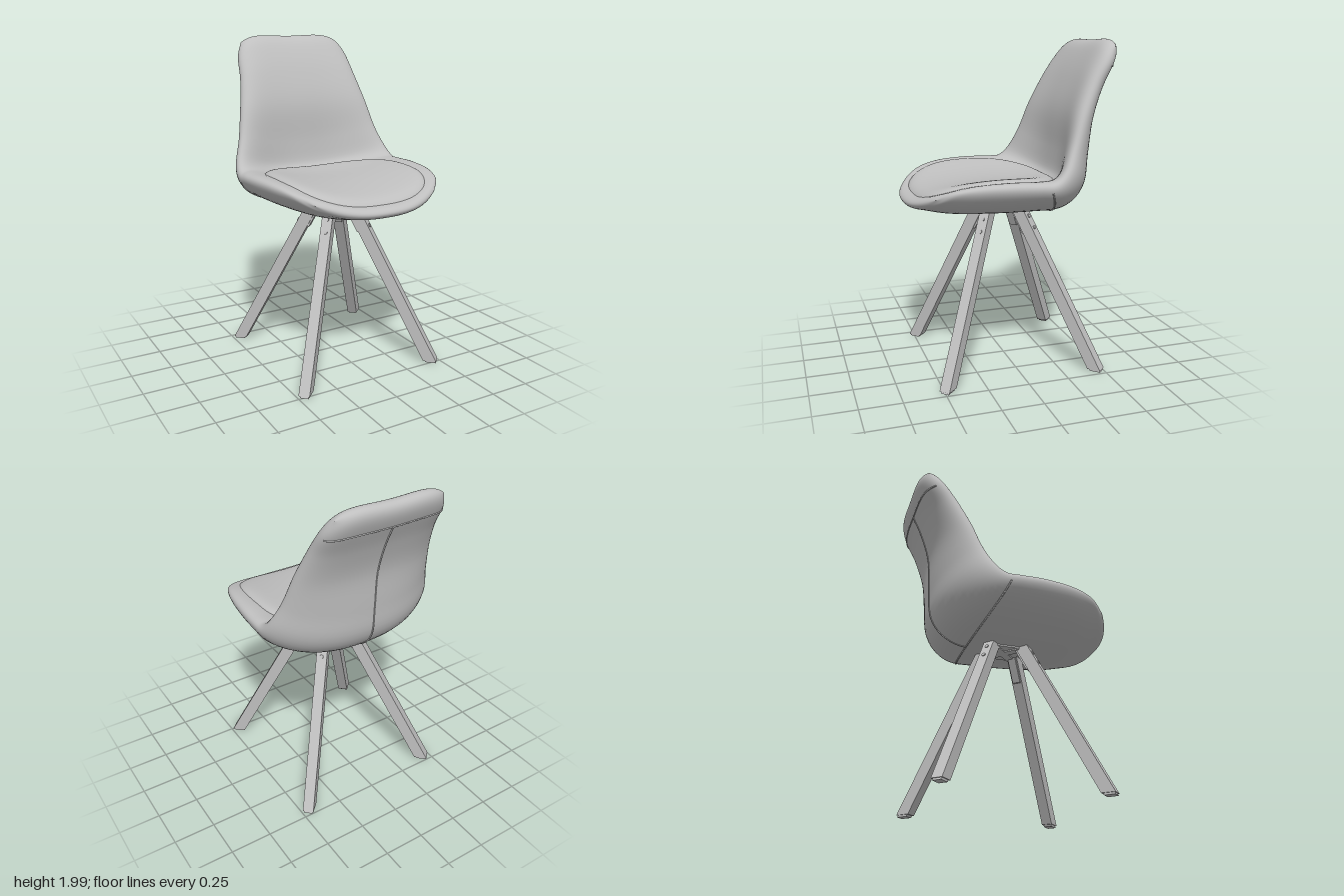
import * as THREE from 'three';
import { mergeVertices } from 'three/addons/utils/BufferGeometryUtils.js';

const grey = new THREE.MeshStandardMaterial({ color: 0xbfbfbf });
grey.name = 'plain grey';

// Stations from front lip to top of back:
// centre z, y | rim z, y | half width, half thickness, sharpness of the curl
const stations = [
  [0.635, 1.055, 0.52, 1.125, 0.400, 0.030, 2.5],
  [0.56, 1.055, 0.42, 1.170, 0.480, 0.040, 2.5],
  [0.40, 1.050, 0.28, 1.195, 0.525, 0.065, 2.5],
  [0.15, 1.050, 0.10, 1.200, 0.551, 0.078, 2.5],
  [-0.10, 1.050, -0.04, 1.195, 0.558, 0.080, 2.5],
  [-0.265, 1.065, -0.13, 1.200, 0.553, 0.085, 2.5],
  [-0.365, 1.150, -0.20, 1.260, 0.532, 0.080, 2.5],
  [-0.39, 1.32, -0.265, 1.390, 0.485, 0.073, 2.5],
  [-0.405, 1.55, -0.335, 1.57, 0.445, 0.073, 2.7],
  [-0.465, 1.74, -0.42, 1.730, 0.408, 0.070, 3],
  [-0.54, 1.89, -0.51, 1.835, 0.386, 0.066, 3.5],
  [-0.60, 1.982, -0.57, 1.91, 0.342, 0.055, 4],
];
const spline = (f) => new THREE.CatmullRomCurve3(stations.map(f), false, 'catmullrom', 0.5);
const centreLine = spline((r) => new THREE.Vector3(0, r[1], r[0]));
const rimLine = spline((r) => new THREE.Vector3(0, r[3], r[2]));
const sizeLine = spline((r) => new THREE.Vector3(r[4], r[5], r[6]));

// Middle surface of the shell, s across (-1..1) and t from front to top
function middle(s, t) {
  const size = sizeLine.getPoint(t);
  const p = centreLine.getPoint(t).lerp(rimLine.getPoint(t), Math.abs(s) ** size.z);
  p.x = size.x * s;
  p.y += 0.04 * s * s * THREE.MathUtils.smoothstep(t, 0.75, 1);
  return p;
}

// Point on the inner (side 1) or outer (side -1) skin
function skin(s, t, side) {
  const e = 0.004;
  const ds = middle(Math.min(1, s + e), t).sub(middle(Math.max(-1, s - e), t));
  const dt = middle(s, Math.min(1, t + e)).sub(middle(s, Math.max(0, t - e)));
  const tip = Math.sqrt(Math.max(0, 1 - (2 * t - 1) ** 16));
  const edge = Math.sqrt(Math.max(0, 1 - s ** 6));
  const h = sizeLine.getPoint(t).y * tip * edge;
  return middle(s, t).addScaledVector(ds.cross(dt).normalize(), side * h);
}

// Smooth surface from a grid of points, closed around each row
function gridGeometry(rows, cols, point) {
  const pos = [], index = [];
  for (let i = 0; i <= rows; i++) {
    for (let j = 0; j < cols; j++) pos.push(...point(i / rows, j / cols).toArray());
  }
  for (let i = 0; i < rows; i++) {
    for (let j = 0; j < cols; j++) {
      const a = i * cols + j, b = i * cols + ((j + 1) % cols);
      index.push(a, a + cols, b, b, a + cols, b + cols);
    }
  }
  const g = new THREE.BufferGeometry();
  g.setAttribute('position', new THREE.Float32BufferAttribute(pos, 3));
  g.setIndex(index);
  const welded = mergeVertices(g, 1e-5);
  welded.computeVertexNormals();
  return welded;
}

function add(parent, name, geometry) {
  const mesh = new THREE.Mesh(geometry, grey);
  mesh.name = name;
  parent.add(mesh);
  return mesh;
}

function seam(parent, name, point) {
  const pts = Array.from({ length: 33 }, (_, i) => point(i / 32));
  add(parent, name, new THREE.TubeGeometry(new THREE.CatmullRomCurve3(pts), 64, 0.005, 6));
}

// Splayed leg, cut level at the top and foot
function makeLeg(sx, sz) {
  const leg = new THREE.Group();
  leg.name = (sz > 0 ? 'front' : 'back') + (sx > 0 ? 'Left' : 'Right') + 'Leg';
  const foot = new THREE.Vector3(0.447 * sx, 0, sz > 0 ? 0.483 : -0.458);
  const top = new THREE.Vector3(0.078 * sx, 0.99, sz > 0 ? 0.12 : -0.07);
  const yaw = Math.atan2(sx, sz);
  const sheared = (w, d, y0, y1, offset) => {
    const g = new THREE.BoxGeometry(w, y1 - y0, d);
    g.translate(0, (y0 + y1) / 2, offset).rotateY(yaw);
    const p = g.attributes.position;
    for (let i = 0; i < p.count; i++) {
      const c = foot.clone().lerp(top, p.getY(i) / 0.99);
      p.setXYZ(i, p.getX(i) + c.x, p.getY(i), p.getZ(i) + c.z);
    }
    g.computeVertexNormals();
    return g;
  };
  add(leg, 'legPost', sheared(0.066, 0.082, 0.012, 0.99, 0));
  add(leg, 'footPad', sheared(0.052, 0.065, 0, 0.012, 0));
  add(leg, 'bracketTab', sheared(0.05, 0.014, 0.82, 0.98, -0.046));
  // Two bolts on the outer face
  const out = new THREE.Vector3(sx, 0, sz).normalize();
  for (const y of [0.86, 0.93]) {
    const bolt = add(leg, 'bolt', new THREE.CylinderGeometry(0.012, 0.012, 0.012, 12));
    bolt.position.copy(foot).lerp(top, y / 0.99).addScaledVector(out, 0.041);
    bolt.quaternion.setFromUnitVectors(new THREE.Vector3(0, 1, 0),
      out.clone().setY(0.45).normalize());
  }
  return leg;
}

export function createModel() {
  const chair = new THREE.Group();
  chair.name = 'chair';

  // Padded bucket shell
  add(chair, 'shell', gridGeometry(90, 80, (v, u) => {
    const a = u * Math.PI * 2;
    return skin(Math.cos(a), (1 - Math.cos(v * Math.PI)) / 2, u <= 0.5 ? 1 : -1);
  }));

  // Seat cushion: rounded-square plan, narrower behind, dished, with a soft edge
  add(chair, 'cushion', gridGeometry(28, 72, (v, u) => {
    const r = Math.sin((v * Math.PI) / 2), a = u * Math.PI * 2;
    const round = (k) => Math.sign(k) * Math.abs(k) ** (2 / 2.8);
    const z = 0.152 + 0.43 * r * round(Math.cos(a));
    const front = Math.max(0, (z - 0.1) / 0.47);
    const back = Math.max(0, -z / 0.27);
    const x = 0.46 * r * round(Math.sin(a)) * (1 - 0.12 * back ** 2);
    const y = 1.11 + 0.065 * (x / 0.45) ** 2 - 0.05 * front ** 2 + 0.02 * back ** 2;
    return new THREE.Vector3(x, y + 0.062 * Math.sqrt(Math.max(0, 1 - r ** 12)), z);
  }));

  // Upholstery seams on the outside
  seam(chair, 'backSeam', (k) => skin(0, 0.42 + 0.48 * k, -1));
  seam(chair, 'topSeam', (k) => skin(-0.97 + 1.94 * k, 0.9, -1));
  seam(chair, 'underSeam', (k) => skin(-0.97 + 1.94 * k, 0.42, -1));

  // Mounting plate and crossed bars under the seat
  add(chair, 'mountPlate', new THREE.BoxGeometry(0.2, 0.02, 0.2)).position.set(0, 0.972, 0.02);
  for (const s of [-1, 1]) {
    const bar = add(chair, 'mountBar', new THREE.BoxGeometry(0.05, 0.012, 0.24));
    bar.position.set(0, 0.96, 0.02);
    bar.rotation.y = (s * Math.PI) / 4;
  }

  for (const sx of [-1, 1]) for (const sz of [-1, 1]) chair.add(makeLeg(sx, sz));
  return chair;
}
